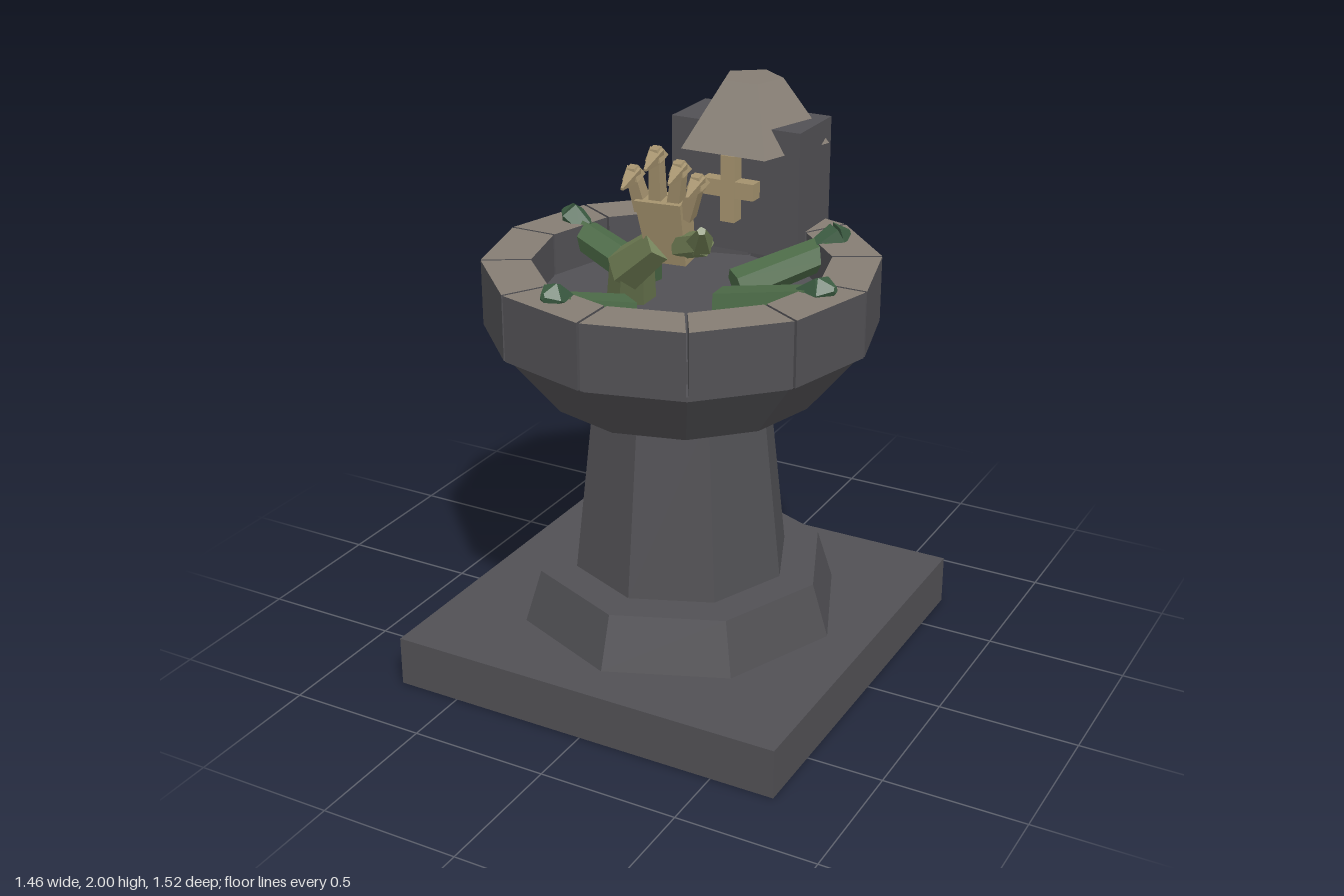
import * as THREE from 'three';

const CZ = 0.03; // centre line of the pedestal

function mat(name, color) {
  const m = new THREE.MeshStandardMaterial({ color });
  m.name = name;
  m.flatShading = true;
  return m;
}

export function createModel() {
  const model = new THREE.Group();
  const stone = mat('dark stone', 0x515054);
  const cap = mat('pale stone', 0x857d73);
  const green = mat('green skin', 0x4c6a47);
  const darkGreen = mat('dark green skin', 0x3c5c42);
  const olive = mat('olive skin', 0x717f55);
  const bone = mat('bone', 0xa3916d);
  const V = (x, y, z) => new THREE.Vector3(x, y, z);

  function add(name, geo, material, x = 0, y = 0, z = 0, parent = model) {
    const mesh = new THREE.Mesh(geo, material);
    mesh.name = name;
    mesh.position.set(x, y, z);
    parent.add(mesh);
    return mesh;
  }

  // Faceted ring section standing between two heights
  function drum(name, sides, rTop, rBottom, y0, y1, material = stone, z = CZ) {
    return add(name, new THREE.CylinderGeometry(rTop, rBottom, y1 - y0, sides), material, 0, (y0 + y1) / 2, z);
  }

  // Tapered prism from a to b, optionally flattened across one axis
  function limb(name, a, b, ra, rb, material, parent, sides = 6, flat = 1) {
    const geo = new THREE.CylinderGeometry(rb, ra, a.distanceTo(b), sides);
    if (sides === 4) geo.rotateY(Math.PI / 4);
    geo.scale(1, 1, flat);
    const mid = a.clone().add(b).multiplyScalar(0.5);
    const mesh = add(name, geo, material, mid.x, mid.y, mid.z, parent);
    mesh.quaternion.setFromUnitVectors(V(0, 1, 0), b.clone().sub(a).normalize());
    return mesh;
  }

  // Pedestal
  add('basePlate', new THREE.BoxGeometry(1.46, 0.18, 1.46), stone, 0, 0.09, CZ);
  drum('plinth', 8, 0.52, 0.58, 0.18, 0.37);
  drum('column', 8, 0.315, 0.39, 0.37, 1.04);
  drum('bowl', 12, 0.65, 0.48, 1.035, 1.245);
  drum('bowlLip', 12, 0.65, 0.65, 1.245, 1.262);
  drum('innerFloor', 12, 0.55, 0.55, 1.262, 1.34);

  // Twelve parapet blocks with narrow gaps and pale tops
  const parapet = new THREE.Group();
  parapet.name = 'parapet';
  parapet.position.z = CZ;
  model.add(parapet);
  const halfOut = 0.68 * Math.sin(Math.PI / 12) - 0.005;
  const halfIn = 0.51 * Math.sin(Math.PI / 12) - 0.005;
  const rOut = 0.68 * Math.cos(Math.PI / 12);
  const rIn = 0.51 * Math.cos(Math.PI / 12);
  const outline = new THREE.Shape([
    new THREE.Vector2(-halfIn, -rIn), new THREE.Vector2(-halfOut, -rOut),
    new THREE.Vector2(halfOut, -rOut), new THREE.Vector2(halfIn, -rIn)]);
  const slab = (depth) => new THREE.ExtrudeGeometry(outline, { depth, bevelEnabled: false }).rotateX(-Math.PI / 2);
  const block = slab(0.225);
  const top = slab(0.005);
  for (let i = 0; i < 12; i++) {
    const angle = (i + 0.5) * Math.PI / 6;
    add('parapetBlock', block, stone, 0, 1.26, 0, parapet).rotation.y = angle;
    add('parapetTop', top, [cap, stone], 0, 1.485, 0, parapet).rotation.y = angle;
  }

  // Small tower with a five-sided roof and a cross on its front
  add('tower', new THREE.BoxGeometry(0.5, 0.46, 0.255), stone, 0, 1.63, -0.4825);
  drum('roof', 5, 0.11, 0.276, 1.775, 2, cap, -0.484).rotation.y = Math.PI;
  add('crossUpright', new THREE.BoxGeometry(0.055, 0.24, 0.055), bone, 0, 1.64, -0.3275);
  add('crossBar', new THREE.BoxGeometry(0.2, 0.06, 0.053), bone, 0, 1.64, -0.3275);

  // Four arms reaching over the rim: inner x, z and outer x, z
  const arms = [
    [-0.17, -0.05, -0.59, -0.165],
    [0.13, -0.12, 0.41, -0.435],
    [0.17, 0.06, 0.605, 0.11],
    [-0.08, 0.28, -0.19, 0.61]];
  for (const [x0, z0, x1, z1] of arms) {
    const arm = new THREE.Group();
    arm.name = 'reachingArm';
    model.add(arm);
    const at = (t, y) => V(x0 + (x1 - x0) * t, y, z0 + (z1 - z0) * t);
    limb('forearm', at(0, 1.36), at(0.8, 1.45), 0.066, 0.058, green, arm);
    limb('wrist', at(0.72, 1.46), at(0.9, 1.5), 0.04, 0.052, darkGreen, arm, 5);
    limb('fingertips', at(0.9, 1.5), at(1, 1.51), 0.052, 0.012, darkGreen, arm, 5);
  }

  // Raised arm
  const raised = new THREE.Group();
  raised.name = 'raisedArm';
  model.add(raised);
  limb('upperArm', V(-0.17, 1.33, 0.08), V(-0.12, 1.5, 0.16), 0.085, 0.075, olive, raised);
  limb('forearm', V(-0.14, 1.47, 0.15), V(0.03, 1.61, 0.22), 0.08, 0.06, olive, raised);
  limb('palm', V(0.055, 1.55, 0.2), V(0.045, 1.77, 0.24), 0.1, 0.12, bone, raised, 4, 0.5);
  limb('thumbBase', V(0.1, 1.61, 0.22), V(0.21, 1.655, 0.28), 0.045, 0.045, olive, raised, 5);
  limb('thumbTip', V(0.2, 1.65, 0.275), V(0.255, 1.73, 0.37), 0.046, 0.015, olive, raised, 5);

  // Curled fingers: base x, knuckle x, knuckle height
  const fingers = [[-0.03, -0.05, 1.845], [0.025, 0.035, 1.92], [0.085, 0.12, 1.885], [0.13, 0.185, 1.85]];
  for (const [bx, kx, ky] of fingers) {
    limb('finger', V(bx, 1.72, 0.235), V(kx, ky, 0.265), 0.033, 0.027, bone, raised, 4);
    limb('knuckle', V(kx, ky - 0.012, 0.262), V(kx, ky + 0.025, 0.272), 0.04, 0.02, bone, raised, 4);
    limb('fingertip', V(kx, ky, 0.26), V(kx + 0.012, ky - 0.025, 0.36), 0.034, 0.006, bone, raised, 4);
  }

  return model;
}
